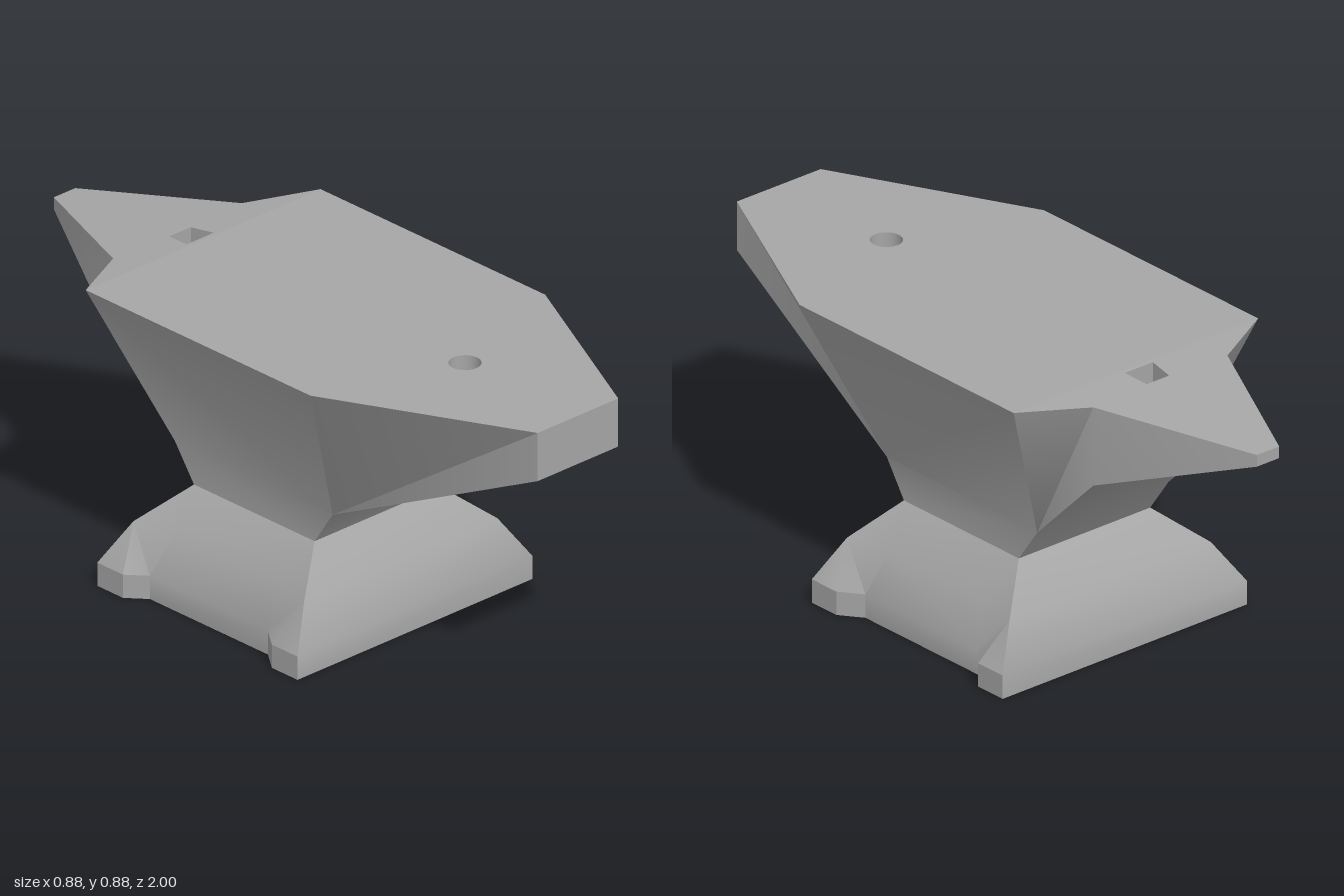
import * as THREE from 'three';
import { toCreasedNormals } from 'three/addons/utils/BufferGeometryUtils.js';

const CREASE = 0.55;
const mirror = ([x, y, z]) => [-x, y, z];

// Collects flat polygons, turning each one to face away from a centre point
function shell(center) {
  const c = new THREE.Vector3(...center), out = [];
  const poly = (...pts) => {
    const v = pts.map((p) => new THREE.Vector3(...p));
    for (let i = 1; i < v.length - 1; i++) {
      const a = v[0], b = v[i], d = v[i + 1];
      const n = b.clone().sub(a).cross(d.clone().sub(a));
      const order = n.dot(a.clone().sub(c)) >= 0 ? [a, b, d] : [a, d, b];
      order.forEach((p) => out.push(p.x, p.y, p.z));
    }
  };
  const both = (...pts) => { poly(...pts); poly(...pts.map(mirror)); };
  // Face spanning left to right between two edge points
  const across = (a, b) => poly(a, b, mirror(b), mirror(a));
  const geometry = () => {
    const g = new THREE.BufferGeometry();
    g.setAttribute('position', new THREE.Float32BufferAttribute(out, 3));
    return toCreasedNormals(g, CREASE);
  };
  return { poly, both, across, geometry };
}

// Flat outline in x,z (mirrored in x) with a hole, raised by a height rule
function plate(half, hole, height) {
  const pts = [...half, ...half.map(([x, z]) => [-x, z]).reverse()];
  const shape = new THREE.Shape(pts.map(([x, z]) => new THREE.Vector2(x, -z)));
  shape.holes.push(new THREE.Path(hole.map(([x, z]) => new THREE.Vector2(x, -z))));
  const g = new THREE.ShapeGeometry(shape).rotateX(-Math.PI / 2);
  const p = g.attributes.position;
  for (let i = 0; i < p.count; i++) p.setY(i, height(p.getZ(i)));
  g.computeVertexNormals();
  return g;
}

export function createModel() {
  const group = new THREE.Group();
  const steel = new THREE.MeshStandardMaterial({ color: 0xa6a6a6, side: THREE.DoubleSide });
  steel.name = 'steel grey';
  const add = (name, geometry) => {
    const mesh = new THREE.Mesh(geometry, steel);
    mesh.name = name;
    group.add(mesh);
  };

  // Base: flared ends, sides recessed between four corner feet
  const base = shell([0, 0.12, 0]);
  const ends = [
    { waist: 0.22, mid: 0.31, foot: 0.365, toe: 0.265, inner: 0.2, dip: 0.17 },
    { waist: -0.25, mid: -0.355, foot: -0.415, toe: -0.315, inner: -0.26, dip: -0.22 },
  ].map((e) => ({
    waist: [0.235, 0.295, e.waist],
    mid: [0.36, 0.19, e.mid],
    dip: [0.33, 0.19, e.dip],
    rim: [[0.4375, 0.07, e.foot], [0.4375, 0.07, e.toe], [0.39, 0.07, e.inner]],
  }));
  const floor = ([x, , z]) => [x, 0, z];
  for (const { waist, mid, dip, rim } of ends) {
    const [foot, toe, inner] = rim;
    base.across(waist, mid);
    base.across(mid, foot);
    base.across(foot, floor(foot));
    base.both(waist, mid, dip);
    base.both(mid, foot, toe);
    base.both(mid, toe, inner);
    base.both(mid, inner, dip);
    base.both(foot, toe, floor(toe), floor(foot));
    base.both(toe, inner, floor(inner), floor(toe));
    base.both([0, 0, 0], floor(foot), floor(toe));
    base.both([0, 0, 0], floor(toe), floor(inner));
    base.poly([0, 0, 0], floor(foot), mirror(floor(foot)));
  }
  const [f, b] = ends;
  base.both(f.waist, f.dip, b.dip, b.waist);
  base.both(f.dip, f.rim[2], b.rim[2], b.dip);
  base.both(f.rim[2], floor(f.rim[2]), floor(b.rim[2]), b.rim[2]);
  base.both([0, 0, 0], floor(f.rim[2]), floor(b.rim[2]));
  add('base', base.geometry());

  // Body: waist, flared sides, front heel and tapering back horn
  const body = shell([0, 0.6, 0]);
  const neckF = [0.235, 0.4, 0.29], neckB = [0.235, 0.4, -0.325];
  const shoulderF = [0.4375, 0.875, 0.415], shoulderB = [0.4375, 0.875, -0.46];
  const heelTop = [0.15, 0.875, 1], heelLow = [0.15, 0.73, 1];
  const rootTop = [0.24, 0.865, -0.56], rootLow = [0.24, 0.63, -0.56];
  const tipTop = [0.04, 0.82, -1], tipLow = [0.04, 0.785, -1];
  body.both(f.waist, neckF, neckB, b.waist);
  body.across(f.waist, neckF);
  body.across(b.waist, neckB);
  body.both(neckF, shoulderF, shoulderB, neckB);
  body.both(neckF, shoulderF, heelTop, heelLow);
  body.across(neckF, heelLow);
  body.across(heelLow, heelTop);
  body.both(neckB, shoulderB, rootTop, rootLow);
  body.across(neckB, rootLow);
  body.both(rootTop, rootLow, tipLow, tipTop);
  body.across(rootLow, tipLow);
  body.across(tipLow, tipTop);
  add('body', body.geometry());

  // Working face with the round hole
  const ring = [];
  for (let i = 0; i < 24; i++) {
    const t = (i / 24) * Math.PI * 2;
    ring.push([0.045 * Math.cos(t), 0.56 + 0.045 * Math.sin(t)]);
  }
  add('workingFace', plate([[0.15, 1], [0.4375, 0.415], [0.4375, -0.46]], ring, () => 0.875));
  const depth = 0.08;
  add('roundHoleWall', new THREE.CylinderGeometry(0.045, 0.045, depth, 24, 1, true)
    .translate(0, 0.875 - depth / 2, 0.56));
  add('roundHoleFloor', new THREE.CircleGeometry(0.045, 24).rotateX(-Math.PI / 2)
    .translate(0, 0.875 - depth, 0.56));

  // Sloping horn top with the square hole
  const slope = (z) => 0.875 + (z + 0.46) * (0.055 / 0.54);
  const square = [[0.05, -0.472], [0.04, -0.55], [-0.04, -0.55], [-0.05, -0.472]];
  add('hornTop', plate([[0.4375, -0.46], [0.24, -0.56], [0.04, -1]], square, slope));
  const pit = shell([0, 0.83, -0.51]);
  const low = 0.79;
  square.forEach(([x, z], i) => {
    const [x2, z2] = square[(i + 1) % 4];
    pit.poly([x, slope(z), z], [x2, slope(z2), z2], [x2, low, z2], [x, low, z]);
  });
  pit.poly(...square.map(([x, z]) => [x, low, z]));
  add('squareHole', pit.geometry());

  return group;
}
